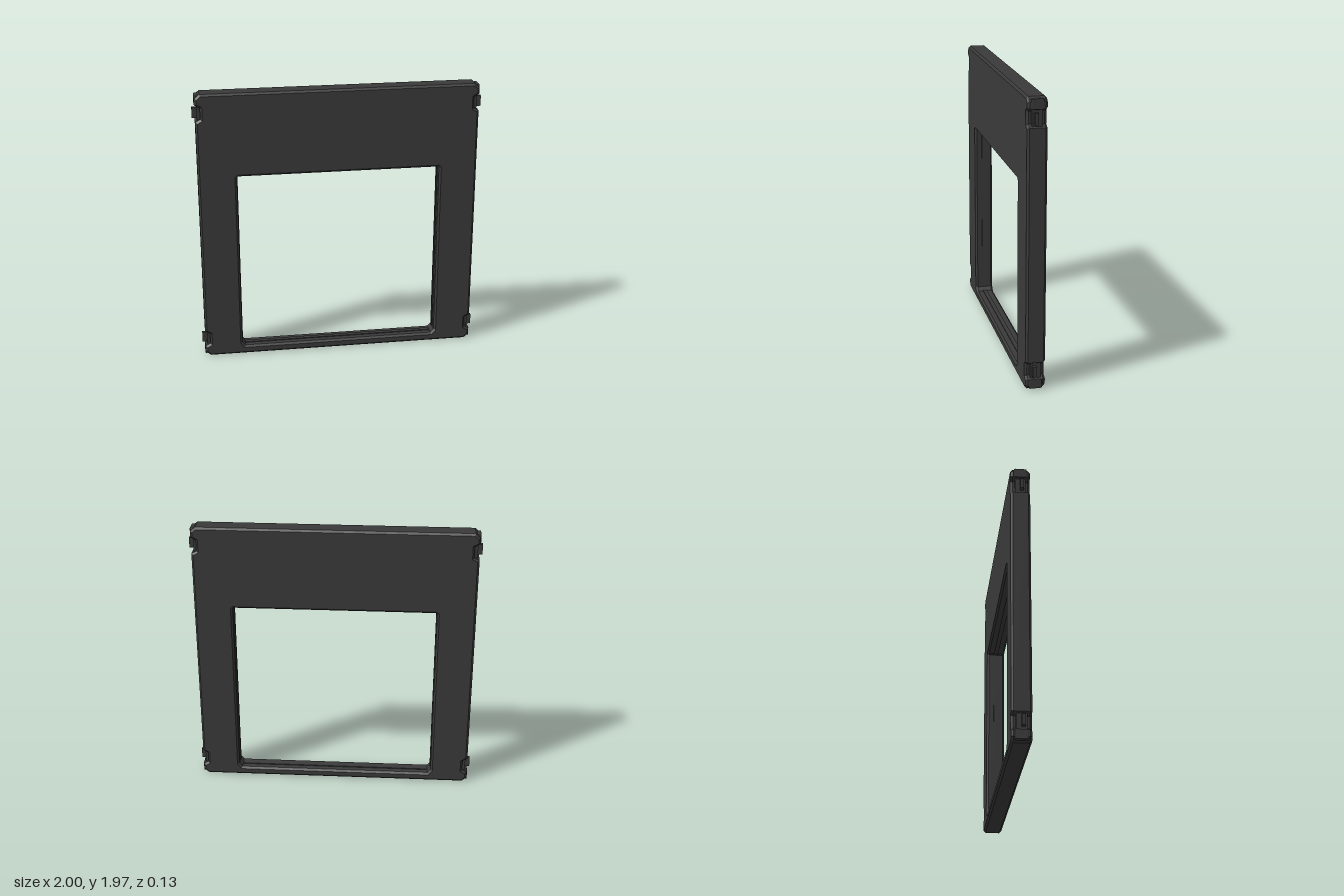
import * as THREE from 'three';
import { RoundedBoxGeometry } from 'three/addons/geometries/RoundedBoxGeometry.js';

const BOTTOM = 0.005, TOP = 1.975, SIDE = 0.98, HALF = 0.066, BEVEL = 0.014;
const MID = (BOTTOM + TOP) / 2;

// Closed path from [x, y] corners
function trace(path, points) {
  points.forEach(([x, y], i) => (i ? path.lineTo(x, y) : path.moveTo(x, y)));
  path.closePath();
  return path;
}

export function createModel() {
  const model = new THREE.Group();
  model.name = 'windowPanel';
  const material = new THREE.MeshStandardMaterial({ color: 0x3a3a3a, flatShading: true });
  const add = (name, geometry, x = 0, y = 0, z = 0) => {
    const mesh = new THREE.Mesh(geometry, material);
    mesh.name = name;
    mesh.position.set(x, y, z);
    model.add(mesh);
  };

  // Right-hand edge, bottom to top, with a notch near each corner
  const lower = [
    [SIDE - 0.035, BOTTOM], [SIDE, BOTTOM + 0.03], [SIDE, 0.08], [SIDE - 0.035, 0.1],
    [SIDE - 0.035, 0.18], [SIDE, 0.2],
  ];
  const upper = lower.map(([x, y]) => [x, 2 * MID - y]).reverse();
  const right = [...lower, ...upper];
  const left = right.map(([x, y]) => [-x, y]).reverse();
  const outline = trace(new THREE.Shape(), [...right, ...left]);

  // Window opening, with larger corner cuts at the sill
  const w = 0.712, sill = 0.067, head = 1.38;
  outline.holes.push(trace(new THREE.Path(), [
    [-w + 0.022, sill], [-w, sill + 0.027], [-w, head - 0.008], [-w + 0.008, head],
    [w - 0.008, head], [w, head - 0.008], [w, sill + 0.027], [w - 0.022, sill],
  ]));
  const depth = 2 * (HALF - BEVEL);
  const panel = new THREE.ExtrudeGeometry(outline, {
    depth, bevelEnabled: true, bevelThickness: BEVEL, bevelSize: BEVEL,
    bevelOffset: -BEVEL, bevelSegments: 1,
  });
  panel.translate(0, 0, -depth / 2);
  add('panel', panel);

  // Raised glazing bead around the opening
  const bead = 0.008, beadDepth = 0.03;
  for (const s of [-1, 1]) {
    add('sideBead', new THREE.BoxGeometry(bead, head - sill - 0.05, beadDepth), s * (w - bead / 4), (head + sill) / 2 + 0.01);
  }
  add('headBead', new THREE.BoxGeometry(2 * w - 0.02, bead, beadDepth), 0, head - bead / 4);
  add('sillBead', new THREE.BoxGeometry(2 * w - 0.05, bead, beadDepth), 0, sill + bead / 4);

  // Corner blocks and connecting clips
  for (const s of [-1, 1]) {
    for (const t of [-1, 1]) {
      const at = (y) => MID + t * (MID - y);
      add('cornerBlock', new RoundedBoxGeometry(0.06, 0.068, 0.086, 1, 0.006), s * 0.954, at(0.05));
      add('clipBase', new THREE.BoxGeometry(0.05, 0.11, 0.07), s * 0.942, at(0.14));
      add('clipPeg', new THREE.BoxGeometry(0.06, 0.074, 0.024), s * 0.97, at(0.14), 0.01);
    }
  }
  return model;
}
